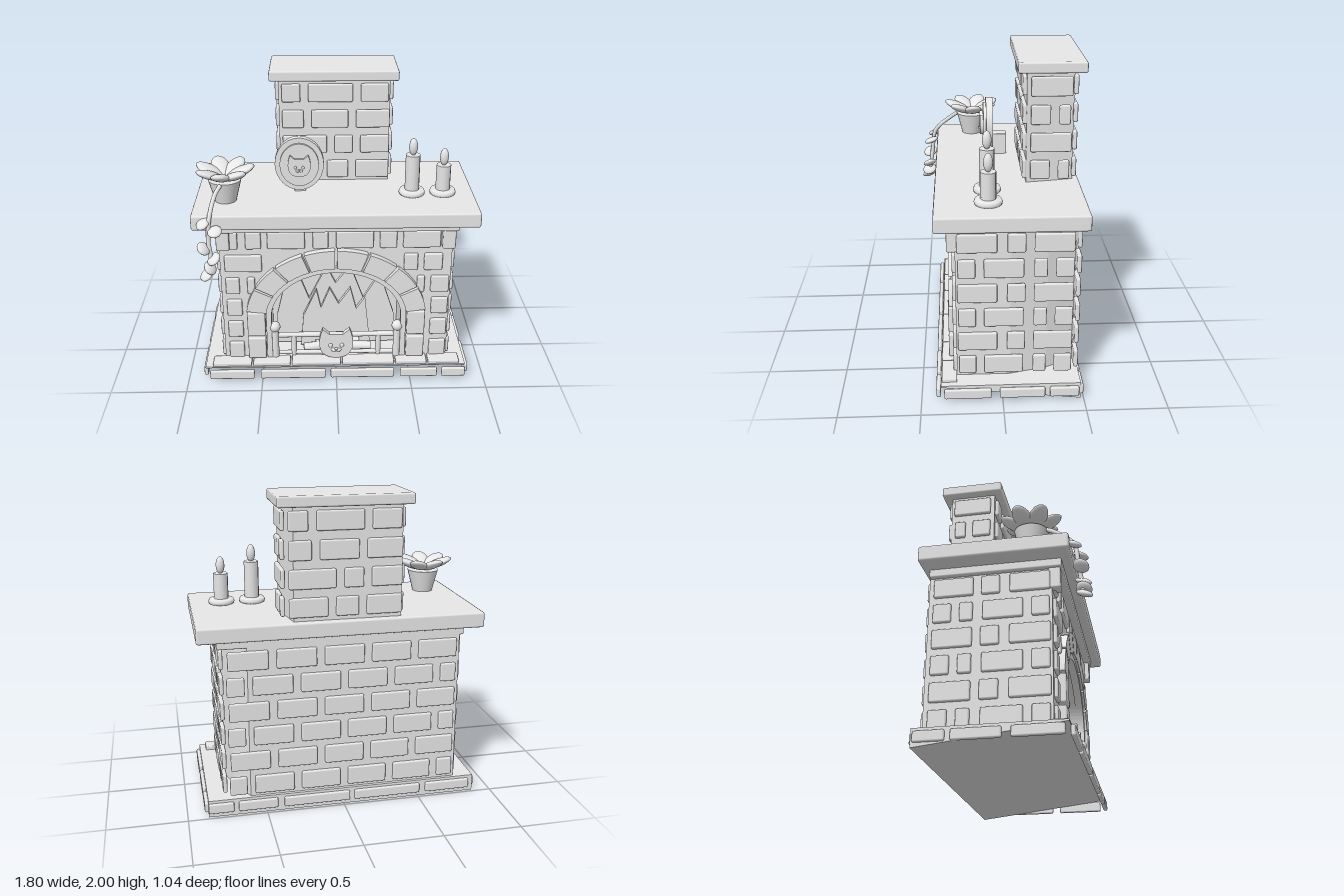
import * as THREE from 'three';
import { RoundedBoxGeometry } from 'three/addons/geometries/RoundedBoxGeometry.js';

const clay = new THREE.MeshStandardMaterial({ color: 0xe7e7e7 });
clay.name = 'light grey clay';
const V = (x, y, z) => new THREE.Vector3(x, y, z);

export function createModel() {
  const root = new THREE.Group();
  root.name = 'fireplace';

  function group(name) {
    const g = new THREE.Group();
    g.name = name;
    root.add(g);
    return g;
  }
  function add(parent, name, geo, x = 0, y = 0, z = 0) {
    const m = new THREE.Mesh(geo, clay);
    m.name = name;
    m.position.set(x, y, z);
    parent.add(m);
    return m;
  }
  // Rounded block given by its min and max corners
  function block(parent, name, x0, x1, y0, y1, z0, z1, r = 0.01) {
    const geo = new RoundedBoxGeometry(x1 - x0, y1 - y0, z1 - z0, 1, r);
    return add(parent, name, geo, (x0 + x1) / 2, (y0 + y1) / 2, (z0 + z1) / 2);
  }
  const polygon = pts => new THREE.Shape(pts.map(p => new THREE.Vector2(p[0], p[1])));
  const extrude = (shape, depth) =>
    new THREE.ExtrudeGeometry(shape, { depth, bevelEnabled: false, curveSegments: 24 });
  // Upright prism from a plan of [x, z] corners
  const prism = (plan, h) => extrude(polygon(plan.map(p => [p[0], -p[1]])), h).rotateX(-Math.PI / 2);
  function ball(parent, name, x, y, z, sx, sy, sz) {
    const m = add(parent, name, new THREE.SphereGeometry(1, 16, 10), x, y, z);
    m.scale.set(sx, sy, sz);
    return m;
  }
  function rod(parent, name, a, b, r) {
    const m = add(parent, name, new THREE.CylinderGeometry(r, r, a.distanceTo(b), 12));
    m.position.copy(a).add(b).multiplyScalar(0.5);
    m.quaternion.setFromUnitVectors(V(0, 1, 0), b.clone().sub(a).normalize());
    return m;
  }

  // Brick courses: spans run along x (faces z) or along z (faces x)
  const D = 0.014;
  function course(parent, spans, y, h, axis, at) {
    for (const [a, b] of spans) {
      if (axis === 'x') block(parent, 'brick', a, b, y - h / 2, y + h / 2, at - D, at + D);
      else block(parent, 'brick', at - D, at + D, y - h / 2, y + h / 2, a, b);
    }
  }

  // Hearth base, sloping underneath
  const hearth = group('hearth');
  add(hearth, 'hearthSlab', extrude(polygon([[0.38, 0.11], [0.38, 0.1], [-0.48, 0], [-0.48, 0.11]]), 1.75)
    .rotateY(-Math.PI / 2), 0.87);
  const baseX = [[-0.85, -0.55], [-0.51, -0.07], [-0.04, 0.39], [0.43, 0.68], [0.71, 0.87]];
  course(hearth, baseX, 0.06, 0.065, 'x', 0.395);
  course(hearth, baseX, 0.06, 0.065, 'x', -0.485);
  for (const s of [-1, 1])
    course(hearth, [[0.07, 0.36], [-0.26, 0.02], [-0.47, -0.29]], 0.06, 0.065, 'z', s * 0.88);
  for (const [a, b] of [[-0.83, -0.57], [-0.56, -0.31], [-0.3, 0.03], [0.04, 0.39], [0.4, 0.61], [0.62, 0.83]])
    block(hearth, 'hearthTile', a, b, 0.105, 0.135, 0.28, 0.375, 0.008);

  // Firebox body: front wall with an arched opening, rear with a cut corner
  const body = group('body');
  const CY = 0.45;
  const wall = new THREE.Shape();
  wall.moveTo(-0.75, 0.1);
  wall.lineTo(-0.44, 0.1);
  wall.lineTo(-0.44, CY);
  wall.absellipse(0, CY, 0.44, 0.345, Math.PI, 0, true, 0);
  wall.lineTo(0.44, 0.1);
  wall.lineTo(0.75, 0.1);
  wall.lineTo(0.75, 1.1);
  wall.lineTo(-0.75, 1.1);
  add(body, 'frontWall', extrude(wall, 0.33), 0, 0, -0.05);
  add(body, 'rearWall', prism([[-0.75, -0.05], [0.75, -0.05], [0.69, -0.28], [0.6, -0.46], [-0.75, -0.46]], 1), 0, 0.1);

  const rowY = i => 0.19 + 0.165 * i;
  const sideA = [[0.03, 0.27], [-0.14, -0.03], [-0.43, -0.19]];
  const sideB = [[0.16, 0.265], [-0.13, 0.11], [-0.27, -0.19], [-0.43, -0.32]];
  const frontRows = [
    [[-0.72, -0.62], [0.63, 0.74]],
    [[-0.72, -0.62], [0.63, 0.74]],
    [[-0.72, -0.62], [0.63, 0.74]],
    [[-0.72, -0.63], [-0.58, -0.53], [0.53, 0.58], [0.62, 0.74]],
    [[-0.72, -0.48], [0.44, 0.53], [0.57, 0.69]],
    [[-0.72, -0.63], [-0.58, -0.48], [-0.44, -0.2], [-0.15, -0.05], [0, 0.24], [0.28, 0.39], [0.43, 0.67]],
  ];
  for (let i = 0; i < 6; i++) {
    for (const s of [-1, 1]) course(body, i % 2 ? sideA : sideB, rowY(i), 0.12, 'z', s * 0.757);
    course(body, frontRows[i], rowY(i), 0.12, 'x', 0.287);
    const back = [];
    for (let x = i % 2 ? -0.73 : -0.88; x < 0.7; x += 0.3)
      back.push([Math.max(x, -0.73), Math.min(x + 0.25, 0.73)]);
    course(body, back, rowY(i), 0.12, 'x', -0.465);
  }

  // Arch stones, inner arch trim and jambs
  const arch = group('arch');
  const start = 0.1, step = (Math.PI - 2 * start) / 8;
  for (let i = 0; i < 8; i++) {
    const a0 = start + i * step + 0.015, a1 = a0 + step - 0.03;
    const s = new THREE.Shape();
    s.absellipse(0, CY, 0.595, 0.5, a0, a1, false, 0);
    s.absellipse(0, CY, 0.465, 0.37, a1, a0, true, 0);
    add(arch, 'archStone', extrude(s, 0.06), 0, 0, 0.265);
  }
  const trim = new THREE.Shape();
  trim.moveTo(-0.465, 0.13);
  trim.lineTo(-0.465, CY);
  trim.absellipse(0, CY, 0.465, 0.37, Math.PI, 0, true, 0);
  trim.lineTo(0.465, 0.13);
  trim.lineTo(0.43, 0.13);
  trim.lineTo(0.43, CY);
  trim.absellipse(0, CY, 0.43, 0.335, 0, Math.PI, false, 0);
  trim.lineTo(-0.43, 0.13);
  add(arch, 'archTrim', extrude(trim, 0.05), 0, 0, 0.26);
  for (const s of [-1, 1])
    for (const [y0, y1] of [[0.14, 0.3], [0.315, 0.495]])
      block(arch, 'jambStone', s * 0.53 - 0.06, s * 0.53 + 0.06, y0, y1, 0.26, 0.33);

  // Fire
  const fire = group('fire');
  add(fire, 'tallFlame', extrude(polygon([[-0.42, 0.13], [-0.4, 0.36], [-0.33, 0.66], [-0.27, 0.73], [-0.18, 0.48],
    [-0.06, 0.73], [0, 0.6], [0.1, 0.73], [0.19, 0.48], [0.3, 0.67], [0.4, 0.36], [0.42, 0.13]]), 0.03), 0, 0, 0.09);
  add(fire, 'shortFlame', extrude(polygon([[-0.24, 0.13], [-0.22, 0.37], [-0.13, 0.57], [-0.1, 0.43], [-0.04, 0.58],
    [0.02, 0.46], [0.1, 0.58], [0.14, 0.42], [0.2, 0.51], [0.24, 0.13]]), 0.03), 0, 0, 0.13);
  rod(fire, 'log', V(-0.22, 0.15, 0.22), V(0.16, 0.17, 0.17), 0.03);
  rod(fire, 'log', V(0.24, 0.16, 0.22), V(-0.14, 0.15, 0.18), 0.03);

  // Grate
  const grate = group('grate');
  rod(grate, 'topRail', V(-0.41, 0.295, 0.28), V(0.41, 0.295, 0.28), 0.018);
  rod(grate, 'bottomRail', V(-0.41, 0.155, 0.28), V(0.41, 0.155, 0.28), 0.014);
  for (const s of [-1, 1]) {
    rod(grate, 'post', V(s * 0.41, 0.13, 0.29), V(s * 0.41, 0.34, 0.29), 0.024);
    ball(grate, 'postKnob', s * 0.41, 0.367, 0.29, 0.037, 0.037, 0.037);
    rod(grate, 'bar', V(s * 0.285, 0.14, 0.28), V(s * 0.285, 0.3, 0.28), 0.018);
  }

  // Cat face ornament, k scales it
  function cat(name, x, y, z, k) {
    const g = group(name);
    g.position.set(x, y, z);
    g.scale.setScalar(k);
    const s = new THREE.Shape();
    s.moveTo(-0.09, 0.125);
    s.lineTo(-0.045, 0.085);
    s.lineTo(0.045, 0.085);
    s.lineTo(0.09, 0.125);
    s.bezierCurveTo(0.13, 0.03, 0.13, -0.1, 0, -0.1);
    s.bezierCurveTo(-0.13, -0.1, -0.13, 0.03, -0.09, 0.125);
    add(g, 'catHead', extrude(s, 0.035));
    for (const e of [-1, 1]) {
      ball(g, 'catEye', e * 0.038, 0, 0.036, 0.014, 0.016, 0.01);
      ball(g, 'catMuzzle', e * 0.015, -0.035, 0.036, 0.02, 0.013, 0.014);
    }
    ball(g, 'catNose', 0, -0.022, 0.046, 0.012, 0.008, 0.01);
  }
  cat('grateCat', 0, 0.235, 0.29, 1);

  // Mantel, moulding and corbels
  const mantel = group('mantel');
  block(mantel, 'mantelShelf', -0.9, 0.9, 1.14, 1.24, -0.5, 0.4, 0.014);
  block(mantel, 'mantelMoulding', -0.78, 0.78, 1.09, 1.145, -0.46, 0.34);
  for (const s of [-1, 1])
    block(mantel, 'corbel', s * 0.72 - 0.042, s * 0.72 + 0.042, 0.96, 1.135, 0.26, 0.33);

  // Chimney with a slanting right side
  const chimney = group('chimney');
  add(chimney, 'chimneyCore', prism([[-0.36, -0.165], [0.36, -0.165], [0.34, -0.3], [0.31, -0.46], [-0.36, -0.46]], 0.72), 0, 1.23);
  block(chimney, 'chimneyCap', -0.418, 0.412, 1.932, 2, -0.52, -0.11, 0.012);
  const stack = [
    [[-0.34, -0.1], [-0.05, 0.09], [0.14, 0.36]],
    [[-0.34, -0.05], [0, 0.12], [0.17, 0.36]],
    [[-0.34, -0.2], [-0.15, 0.09], [0.14, 0.36]],
    [[-0.34, -0.22], [-0.17, 0.12], [0.17, 0.35]],
  ];
  for (let i = 0; i < 4; i++) {
    const y = 1.325 + 0.174 * i;
    course(chimney, stack[i], y, 0.12, 'x', -0.155);
    course(chimney, stack[i].map(([a, b]) => [-b, -a]), y, 0.12, 'x', -0.465);
    for (const s of [-1, 1])
      course(chimney, i % 2 ? [[-0.44, -0.19]] : [[-0.31, -0.19], [-0.43, -0.36]], y, 0.12, 'z', s * 0.37);
  }

  // Oval plaque on its stand
  const plaque = group('plaque');
  const disc = (name, rx, ry, z, d) => {
    const m = add(plaque, name, new THREE.CylinderGeometry(1, 1, d, 40).rotateX(Math.PI / 2), -0.23, 1.443, z);
    m.scale.set(rx, ry, 1);
  };
  disc('plaqueDisc', 0.157, 0.177, 0.04, 0.045);
  disc('plaqueInset', 0.125, 0.143, 0.07, 0.02);
  block(plaque, 'plaqueStand', -0.265, -0.19, 1.235, 1.38, -0.075, 0.02, 0.004);
  cat('plaqueCat', -0.23, 1.435, 0.078, 0.64);

  // Candles
  const dish = [[0, 0], [0.08, 0], [0.085, 0.015], [0.078, 0.032], [0, 0.04]].map(p => new THREE.Vector2(p[0], p[1]));
  for (const [x, top] of [[0.495, 1.51], [0.695, 1.44]]) {
    const g = group('candle');
    add(g, 'candleDish', new THREE.LatheGeometry(dish, 28), x, 1.24, 0.08);
    rod(g, 'candleWax', V(x, 1.26, 0.08), V(x, top, 0.08), 0.047);
    ball(g, 'candleFlame', x, top + 0.052, 0.08, 0.028, 0.057, 0.028);
  }

  // Potted plant with a rosette and trailing vine
  const plant = group('plant');
  add(plant, 'pot', new THREE.CylinderGeometry(0.105, 0.068, 0.145, 24), -0.7, 1.3125, 0.15);
  for (let i = 0; i < 7; i++) {
    const pivot = new THREE.Group();
    pivot.name = 'leaf';
    pivot.position.set(-0.7, 1.385, 0.15);
    pivot.rotation.y = (i * Math.PI * 2) / 7 + 0.1;
    plant.add(pivot);
    const leaf = ball(pivot, 'leafBlade', 0.1, 0.045, 0, 0.098, 0.026, 0.06);
    leaf.rotation.z = 0.4;
  }
  const vine = new THREE.CatmullRomCurve3([V(-0.72, 1.38, 0.25), V(-0.75, 1.34, 0.3), V(-0.78, 1.23, 0.415),
    V(-0.79, 1.1, 0.44), V(-0.78, 0.98, 0.455), V(-0.8, 0.88, 0.47)]);
  add(plant, 'vineStem', new THREE.TubeGeometry(vine, 24, 0.014, 8));
  for (const [x, y, z, t] of [[-0.82, 1.2, 0.42, 0.4], [-0.745, 1.16, 0.45, 0.1], [-0.82, 1.05, 0.46, -0.6],
    [-0.76, 0.98, 0.465, 0.5], [-0.785, 0.92, 0.47, -0.7], [-0.81, 0.875, 0.475, 0.5]])
    ball(plant, 'vineLeaf', x, y, z, 0.045, 0.02, 0.05).rotation.set(0.35, 0, t);

  return root;
}
